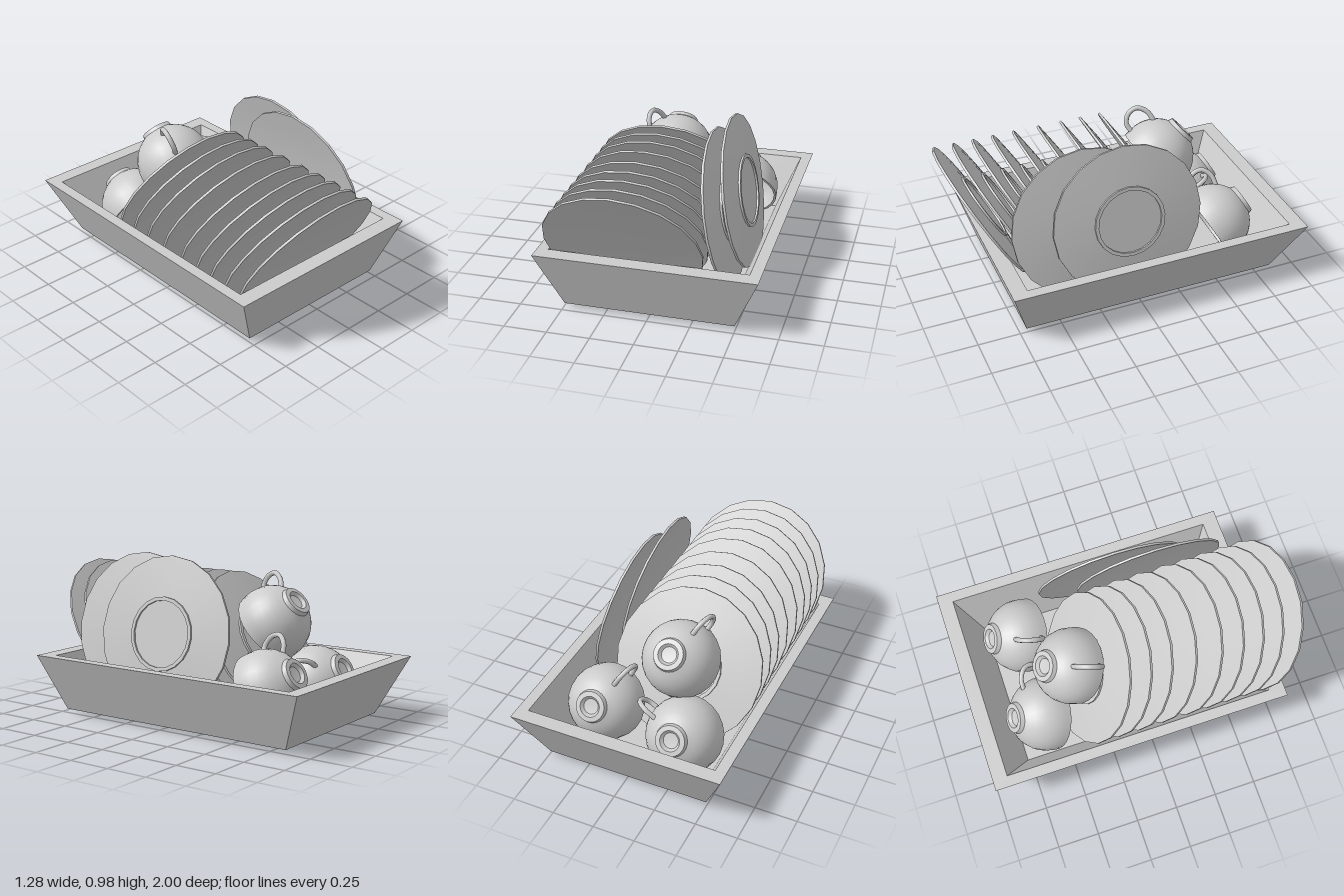
import * as THREE from 'three';
import { toCreasedNormals } from 'three/addons/utils/BufferGeometryUtils.js';

const grey = new THREE.MeshStandardMaterial({ color: 0xcccccc });
const greyDouble = new THREE.MeshStandardMaterial({ color: 0xcccccc, side: THREE.DoubleSide });

function named(geometry, name, material = grey) {
  const mesh = new THREE.Mesh(geometry, material);
  mesh.name = name;
  return mesh;
}

function turned(points, segments) {
  const profile = points.map(([r, y]) => new THREE.Vector2(r, y));
  return toCreasedNormals(new THREE.LatheGeometry(profile, segments), 0.6);
}

// Sloping rectangular tray: each loop is [halfWidth, y, back, front]
function makeTray() {
  const loops = [
    [0.495, 0.03, -0.845, 0.71], // outer foot
    [0.64, 0.37, -1.0, 0.815],   // outer rim
    [0.575, 0.37, -0.912, 0.72], // inner rim
    [0.445, 0.07, -0.767, 0.61], // floor edge
  ].map(([w, y, b, f]) => [[-w, y, f], [w, y, f], [w, y, b], [-w, y, b]]);
  const pos = [];
  loops.forEach((low, k) => {
    const high = loops[(k + 1) % loops.length];
    for (let i = 0; i < 4; i++) {
      const j = (i + 1) % 4;
      pos.push(...low[i], ...low[j], ...high[j], ...low[i], ...high[j], ...high[i]);
    }
  });
  const walls = new THREE.BufferGeometry();
  walls.setAttribute('position', new THREE.Float32BufferAttribute(pos, 3));
  walls.computeVertexNormals();

  const floor = new THREE.PlaneGeometry(0.89, 1.377);
  floor.rotateX(-Math.PI / 2);
  floor.translate(0, 0.07, -0.0785);

  const tray = new THREE.Group();
  tray.name = 'tray';
  tray.add(named(walls, 'trayWalls'), named(floor, 'trayFloor', greyDouble));
  return tray;
}

// Shallow plate, foot ring towards local +y
const plateGeometry = turned([
  [0, 0.026], [0.2, 0.024], [0.33, 0.013], [0.4525, 0],
  [0.4525, 0.014], [0.33, 0.026], [0.214, 0.035],
  [0.214, 0.047], [0.193, 0.047], [0.193, 0.036], [0, 0.036],
], 20);

// Round cup, opening towards local -y and foot towards +y
function cupProfile() {
  const R = 0.225, inner = 0.211, pts = [];
  for (let i = 0; i <= 8; i++) {
    const a = (Math.PI / 2) * (1 - i / 8);
    pts.push([inner * Math.cos(a), (inner - 0.02) * Math.sin(a)]);
  }
  pts[0][0] = 0;
  pts.push([inner, -0.04], [R, -0.04]);
  for (let i = 0; i <= 7; i++) {
    const a = 1.13 * i / 7;
    pts.push([R * Math.cos(a), R * Math.sin(a)]);
  }
  pts.push([0.088, 0.228], [0.06, 0.23], [0.045, 0.212], [0, 0.208]);
  return pts;
}
const cupGeometry = turned(cupProfile(), 24);

const handleCurve = new THREE.CatmullRomCurve3(
  [[0.15, 0.14], [0.23, 0.155], [0.29, 0.13], [0.305, 0.075], [0.275, 0.02], [0.21, 0]]
    .map(([x, y]) => new THREE.Vector3(x, y, 0)));
const handleGeometry = new THREE.TubeGeometry(handleCurve, 20, 0.015, 8);

function makeCup(name, position, tilt, handleAngle) {
  const cup = new THREE.Group();
  cup.name = name;
  const handle = named(handleGeometry, 'cupHandle');
  handle.rotation.y = -THREE.MathUtils.degToRad(handleAngle);
  cup.add(named(cupGeometry, 'cupBowl'), handle);
  cup.position.set(...position);
  cup.rotation.x = -THREE.MathUtils.degToRad(tilt);
  return cup;
}

export function createModel() {
  const model = new THREE.Group();
  model.name = 'dishRack';
  model.add(makeTray());

  // Row of plates leaning forward; values are the z of each top edge
  const row = new THREE.Group();
  row.name = 'plateRow';
  for (const topZ of [-0.04, 0.085, 0.21, 0.355, 0.51, 0.64, 0.76, 0.88, 0.998]) {
    const plate = named(plateGeometry, 'rowPlate');
    plate.position.set(-0.125, 0.463, topZ - 0.226);
    plate.rotation.x = -Math.PI / 3;
    row.add(plate);
  }
  model.add(row);

  // Two plates leaning against the row from the side
  for (const [x, z] of [[0.329, 0.27], [0.385, 0.045]]) {
    const plate = named(plateGeometry, 'sidePlate');
    plate.position.set(x, 0.541, z);
    plate.rotation.z = -THREE.MathUtils.degToRad(79);
    model.add(plate);
  }

  // Upturned cups at the back
  model.add(
    makeCup('rightCup', [-0.243, 0.223, -0.58], 60, 28),
    makeCup('leftCup', [0.26, 0.28, -0.567], 60, 120),
    makeCup('topCup', [-0.12, 0.575, -0.36], 48, 117),
  );
  return model;
}
